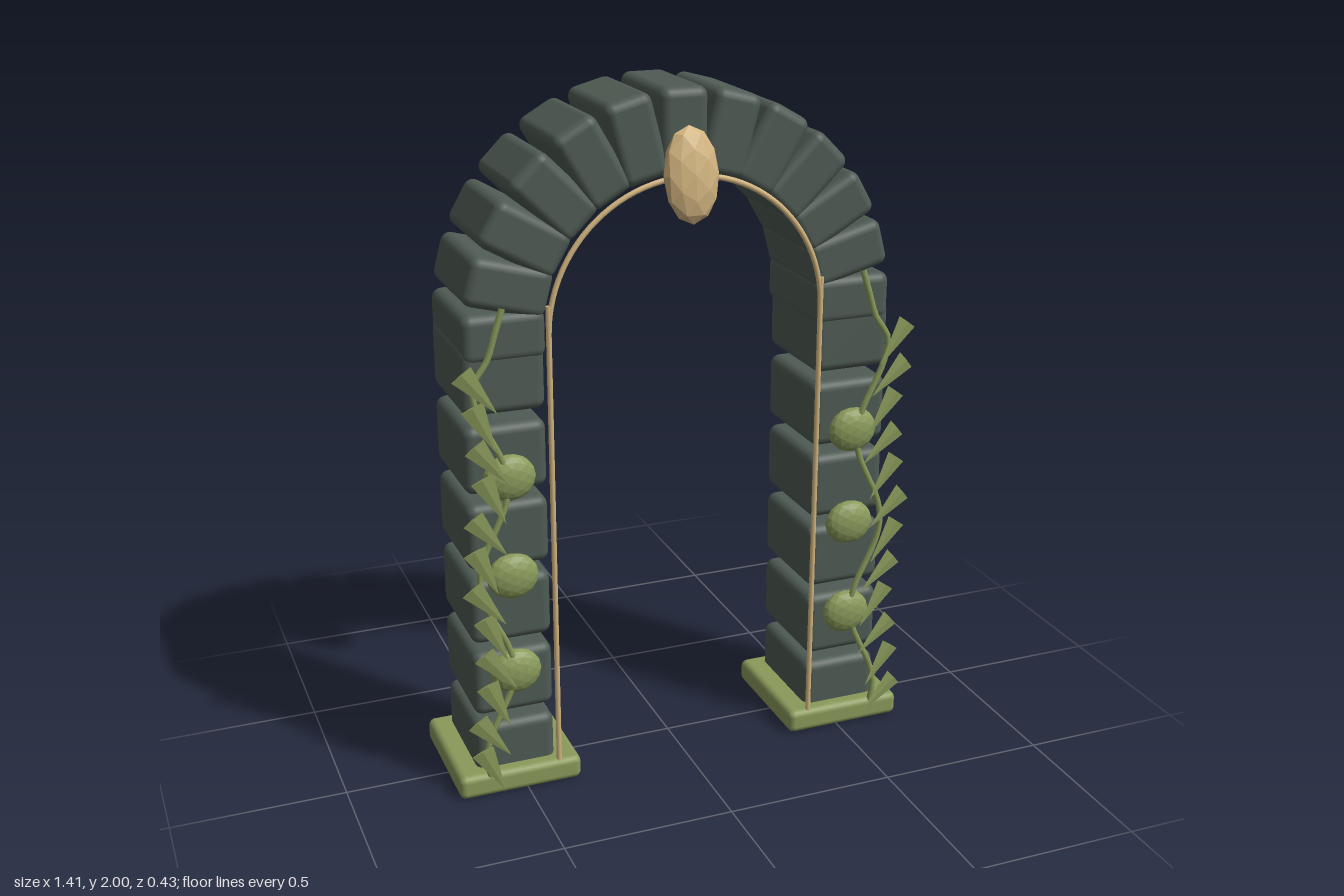
import * as THREE from 'three';
import { RoundedBoxGeometry } from 'three/addons/geometries/RoundedBoxGeometry.js';

export function createModel() {
  const stone = new THREE.MeshStandardMaterial({ color: 0x4f5b54 });
  stone.name = 'darkStone';
  const moss = new THREE.MeshStandardMaterial({ color: 0x8a9a5b });
  moss.name = 'mossGreen';
  const mossFacet = moss;
  const gold = new THREE.MeshStandardMaterial({ color: 0xd2b47f });
  gold.name = 'paleGold';

  const root = new THREE.Group();
  root.name = 'archway';
  const add = (name, geo, mat, x = 0, y = 0, z = 0, parent = root) => {
    const m = new THREE.Mesh(geo, mat);
    m.name = name;
    m.position.set(x, y, z);
    parent.add(m);
    return m;
  };
  // Faceted ellipsoid with one normal per face
  const pebble = (rx, ry, rz, detail) => {
    const g = new THREE.IcosahedronGeometry(1, detail).scale(rx, ry, rz);
    g.computeVertexNormals();
    return g;
  };

  const archY = 1.366;
  const vineX = y => 0.575 - 0.045 * Math.cos((y - 0.4) * Math.PI * 2 / 0.56);

  const blockGeo = new RoundedBoxGeometry(0.235, 0.197, 0.322, 3, 0.028);
  const baseGeo = new RoundedBoxGeometry(0.366, 0.072, 0.388, 3, 0.02);
  const postGeo = new THREE.CylinderGeometry(0.008, 0.008, 1.38, 8);
  // Flattened cone: narrow end at the vine, wide end pointing out
  const leafGeo = new THREE.ConeGeometry(0.034, 0.15, 4).toNonIndexed();
  leafGeo.rotateX(Math.PI).scale(1, 1, 0.15);
  leafGeo.computeVertexNormals();
  const budGeo = pebble(0.075, 0.068, 0.036, 2);

  for (const side of [1, -1]) {
    const pillar = new THREE.Group();
    pillar.name = side > 0 ? 'leftPillar' : 'rightPillar';
    root.add(pillar);

    add('mossBase', baseGeo, moss, side * 0.52, 0.041, -0.021, pillar);
    for (let i = 0; i < 6; i++)
      add('pillarBlock', blockGeo, stone, side * 0.522, 0.115 + i * 0.227, -0.029, pillar);
    add('trimPost', postGeo, gold, side * 0.402, 0.76, 0.158, pillar);

    // Wavy vine
    const pts = [];
    for (let i = 0; i <= 20; i++) {
      const y = 0.06 + i * 0.07;
      pts.push(new THREE.Vector3(side * (y > 1.3 ? 0.6 - (y - 1.25) * 0.33 : vineX(y)), y, 0.164));
    }
    add('vine', new THREE.TubeGeometry(new THREE.CatmullRomCurve3(pts), 60, 0.009, 6), moss, 0, 0, 0, pillar);

    // Leaves lean up and outwards
    for (let i = 0; i < 12; i++) {
      const y = 0.09 + i * 0.104;
      const x = 0.597 + (vineX(y) - 0.575) * 0.35 + (side > 0 ? 0.018 : -0.008);
      const leaf = add('leaf', leafGeo, mossFacet, side * x, y, 0.18, pillar);
      leaf.rotation.set(0, side * 0.12, -side * (side > 0 ? 0.75 : 0.55) + (i % 2 ? 0.12 : -0.12));
    }
    // Moss clumps
    for (let i = 0; i < 3; i++)
      add('mossClump', budGeo, mossFacet, side * 0.522, 0.385 + i * 0.295, 0.15, pillar);
  }

  // Arch stones every 15 degrees
  const archGeo = new RoundedBoxGeometry(0.235, 0.138, 0.34, 3, 0.028);
  for (let i = 0; i <= 12; i++) {
    const a = i * Math.PI / 12;
    const s = add('archStone', archGeo, stone, Math.cos(a) * 0.5175, archY + Math.sin(a) * 0.5175, -0.033);
    s.rotation.z = a;
  }

  // Gold trim arc and keystone ornament
  add('trimArc', new THREE.TorusGeometry(0.402, 0.008, 8, 48, Math.PI), gold, 0, archY, 0.158);
  const gem = add('keystoneOrnament', pebble(0.08, 0.132, 0.038, 1), gold, 0, 1.774, 0.174);
  gem.rotation.x = -0.14;

  return root;
}
